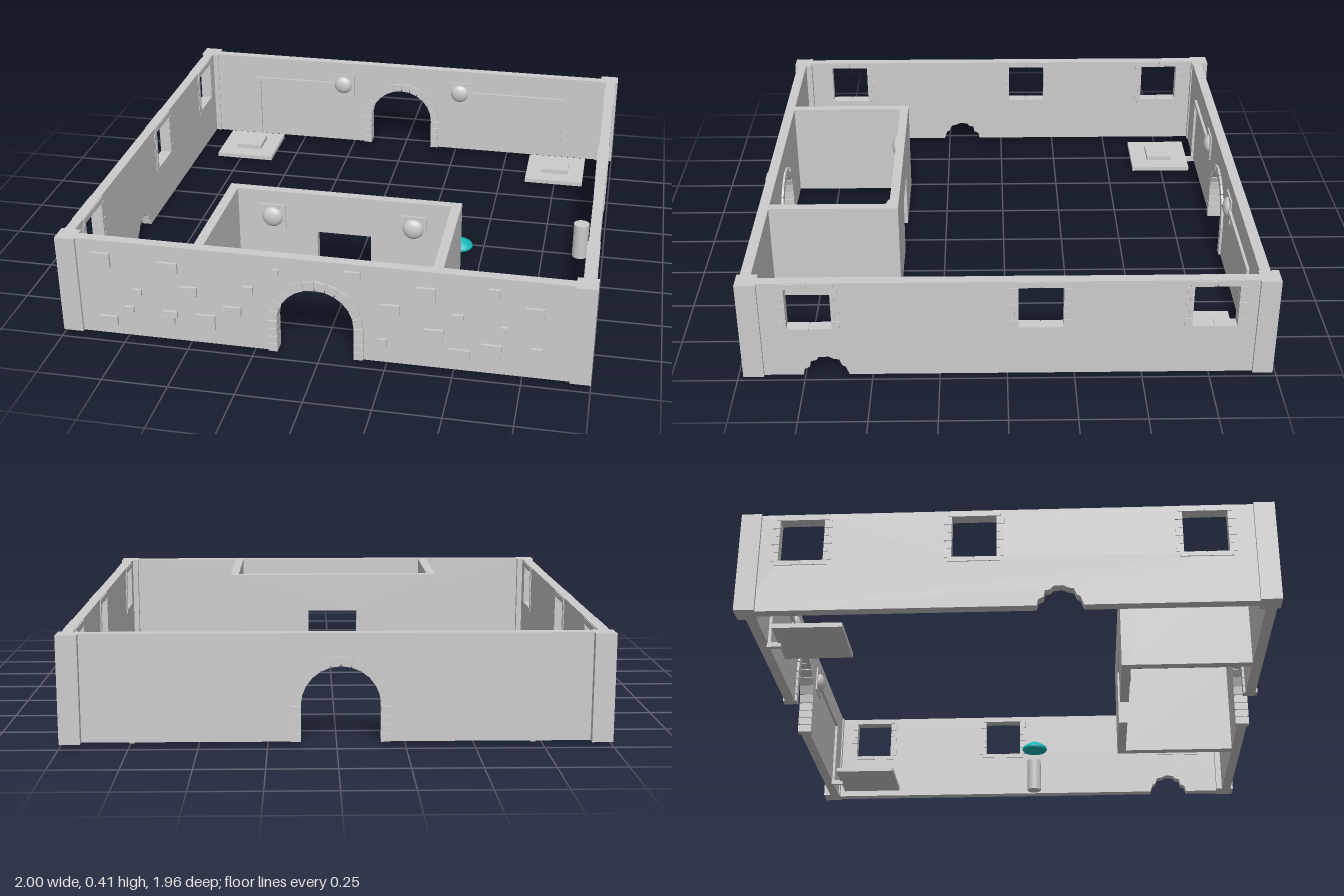
import * as THREE from 'three';

const grey = new THREE.MeshStandardMaterial({ color: 0xcccccc });
const teal = new THREE.MeshStandardMaterial({ color: 0x14b8ba });
const BASE = 0.015, TOP = 0.415, THICK = 0.04;
const ARCH = { x: -0.015, y: 0.15, inner: 0.145, outer: 0.18 };
const WINDOWS = [-0.757, -0.122, 0.722];

export function createModel() {
  const root = new THREE.Group();

  function add(name, geometry, parent = root, material = grey) {
    const mesh = new THREE.Mesh(geometry, material);
    mesh.name = name;
    parent.add(mesh);
    return mesh;
  }
  // box given by its two opposite corners
  function box(name, x0, x1, y0, y1, z0, z1, parent = root) {
    const g = new THREE.BoxGeometry(x1 - x0, y1 - y0, z1 - z0);
    g.translate((x0 + x1) / 2, (y0 + y1) / 2, (z0 + z1) / 2);
    return add(name, g, parent);
  }
  function group(name) {
    const g = new THREE.Group();
    g.name = name;
    root.add(g);
    return g;
  }
  // wall panel centred on its thickness; the notch is cut into the bottom edge
  function wallGeometry(u0, u1, notch, windows = [], thick = THICK) {
    const points = [[u0, BASE], ...notch, [u1, BASE], [u1, TOP], [u0, TOP]];
    const shape = new THREE.Shape(points.map(p => new THREE.Vector2(p[0], p[1])));
    for (const u of windows) {
      const a = 0.085, y0 = 0.217, y1 = 0.393;
      shape.holes.push(new THREE.Path([[u - a, y0], [u - a, y1], [u + a, y1], [u + a, y0]]
        .map(p => new THREE.Vector2(p[0], p[1]))));
    }
    const g = new THREE.ExtrudeGeometry(shape, { depth: thick, bevelEnabled: false });
    return g.translate(0, 0, -thick / 2);
  }

  // front and back walls with arched gateways
  const r = ARCH.inner + 0.005;
  const archNotch = [[ARCH.x - r, BASE]];
  for (let i = 0; i <= 24; i++) {
    const a = Math.PI * (1 - i / 24);
    archNotch.push([ARCH.x + r * Math.cos(a), ARCH.y + r * Math.sin(a)]);
  }
  archNotch.push([ARCH.x + r, BASE]);
  for (const [name, z] of [['front', 0.945], ['back', -0.935]]) {
    add(name + 'Wall', wallGeometry(-0.95, 0.95, archNotch)).position.z = z;
    buildArch(name + 'ArchStones', z);
  }

  // stones around a gateway: straight jambs, then wedge stones
  function buildArch(name, z) {
    const arch = group(name), depth = 0.057, n = 12, rows = 4;
    const { inner, outer } = ARCH;
    const h = (ARCH.y - BASE) / rows;
    for (const s of [-1, 1]) for (let i = 0; i < rows; i++) {
      const a = ARCH.x + s * inner, b = ARCH.x + s * outer;
      box('jambStone', Math.min(a, b), Math.max(a, b),
        BASE + i * h, BASE + (i + 1) * h - 0.003, z - depth / 2, z + depth / 2, arch);
    }
    for (let i = 0; i < n; i++) {
      const a0 = Math.PI * i / n + 0.01, a1 = Math.PI * (i + 1) / n - 0.01;
      const p = (rad, a) => new THREE.Vector2(rad * Math.cos(a), rad * Math.sin(a));
      const wedge = new THREE.Shape([p(inner, a0), p(outer, a0), p(outer, a1), p(inner, a1)]);
      const g = new THREE.ExtrudeGeometry(wedge, { depth, bevelEnabled: false });
      g.translate(ARCH.x, ARCH.y, z - depth / 2);
      add('archStone', g, arch);
    }
  }

  // side walls with windows and a broken gap at the ground
  const gap = [[-0.085, 0], [-0.08, 0.025], [-0.06, 0.035], [-0.055, 0.06], [-0.035, 0.065],
    [-0.025, 0.078], [0.01, 0.08], [0.03, 0.07], [0.05, 0.066], [0.06, 0.04], [0.072, 0.035], [0.085, 0]];
  for (const [name, x, gapZ, flip] of [['left', 0.967, 0.67, -1], ['right', -0.967, 0.19, 1]]) {
    const edge = gap.map(([u, y]) => [gapZ + flip * u, BASE + y]);
    if (flip < 0) edge.reverse();
    const wall = add(name + 'Wall', wallGeometry(-0.95, 0.95, edge, WINDOWS));
    wall.rotation.y = -Math.PI / 2;
    wall.position.x = x;
    for (const z of WINDOWS) buildWindow(name + 'WindowFrame', x, z);
  }

  // toothed stone surround of a window
  function buildWindow(name, x, z) {
    const frame = group(name), d = 0.024, w = 0.0825, y0 = 0.22, y1 = 0.39, n = 5;
    const h = (y1 - y0) / n;
    for (const s of [-1, 1]) {
      for (let i = 0; i < n; i++) {
        const a = z + s * w, b = z + s * (w + (i % 2 ? 0.015 : 0.028));
        box('sideStone', x - d, x + d, y0 + i * h, y0 + (i + 1) * h - 0.002,
          Math.min(a, b), Math.max(a, b), frame);
      }
      const near = z + s * 0.001, far = z + s * (w + 0.015);
      const lo = Math.min(near, far), hi = Math.max(near, far);
      box('lintelStone', x - d, x + d, y1, TOP - 0.002, lo, hi, frame);
      box('sillStone', x - d, x + d, y0 - 0.018, y0, lo, hi, frame);
    }
  }

  // corner pillars
  for (const s of [-1, 1]) {
    const x0 = s < 0 ? -1 : 0.923;
    box('cornerPillar', x0, x0 + 0.077, BASE, TOP, 0.9, 0.977);
    box('cornerPillar', x0, x0 + 0.077, BASE, TOP, -0.985, -0.91);
  }

  // inner room behind the front gateway
  const door = [[-0.12, BASE], [-0.12, 0.25], [0.097, 0.25], [0.097, BASE]];
  add('roomDoorWall', wallGeometry(-0.477, 0.45, door, [], 0.036)).position.z = 0.437;
  box('roomSideWall', -0.477, -0.44, BASE, TOP, 0.45, 0.93);
  box('roomSideWall', 0.413, 0.45, BASE, TOP, 0.45, 0.93);

  // raised stones scattered on the front wall: x, y, width, height
  const stones = [
    [-0.83, 0.335, 0.075, 0.06], [-0.57, 0.33, 0.075, 0.04], [-0.495, 0.235, 0.065, 0.04],
    [-0.695, 0.21, 0.035, 0.025], [-0.57, 0.13, 0.055, 0.025], [-0.435, 0.11, 0.075, 0.062],
    [-0.33, 0.17, 0.07, 0.036], [-0.265, 0.265, 0.036, 0.036], [-0.16, 0.355, 0.022, 0.022],
    [0.125, 0.37, 0.06, 0.036], [0.395, 0.32, 0.07, 0.062], [0.265, 0.245, 0.07, 0.04],
    [0.51, 0.24, 0.042, 0.026], [0.64, 0.352, 0.042, 0.042], [0.785, 0.29, 0.07, 0.04],
    [0.68, 0.207, 0.026, 0.026], [0.425, 0.16, 0.07, 0.04], [0.235, 0.1, 0.034, 0.036],
    [0.52, 0.085, 0.08, 0.042], [0.635, 0.107, 0.075, 0.066], [0.8, 0.13, 0.042, 0.027],
    [-0.815, 0.075, 0.07, 0.038], [-0.73, 0.132, 0.034, 0.026], [-0.58, 0.1, 0.05, 0.034]];
  const facing = group('facingStones');
  for (const [x, y, w, h] of stones)
    box('facingStone', x - w / 2, x + w / 2, y - h / 2, y + h / 2, 0.955, 0.977, facing);

  // round wall lamps on a thin square plate
  function buildLamp(x, z) {
    const lamp = group('wallLamp');
    lamp.position.set(x, 0.305, z);
    box('lampPlate', -0.053, 0.053, -0.053, 0.053, -0.005, 0.005, lamp);
    const dome = new THREE.SphereGeometry(0.042, 20, 8, 0, Math.PI * 2, 0, Math.PI / 2);
    dome.scale(1, 0.55, 1).rotateX(Math.PI / 2);
    add('lampDome', dome, lamp).position.z = 0.004;
  }
  for (const x of [-0.3, 0.265]) {
    buildLamp(x, -0.914);
    buildLamp(x, 0.458);
  }

  // floor pressure plates, each wired to a lamp on the back wall
  for (const [x, wireX, lampX] of [[-0.722, -0.72, -0.3], [0.747, 0.745, 0.265]]) {
    const z = -0.745, t = 0.009;
    box('floorPlate', x - 0.131, x + 0.131, BASE, 0.033, z - 0.131, z + 0.131);
    box('floorButton', x - 0.06, x + 0.06, 0.033, 0.052, z - 0.057, z + 0.057);
    const wire = group('wire');
    box('wireRun', Math.min(wireX, lampX) - t, Math.max(wireX, lampX) + t, 0.296, 0.314, -0.918, -0.904, wire);
    box('wireDrop', wireX - t, wireX + t, 0, 0.314, -0.918, -0.904, wire);
    box('wireFoot', wireX - t, wireX + t, 0, 0.02, -0.918, -0.865, wire);
  }

  // short post by the left wall
  add('post', new THREE.CylinderGeometry(0.032, 0.032, 0.15, 24)).position.set(0.905, BASE + 0.075, 0.03);

  // low coloured mound on the floor
  const profile = [[0, 0], [0.05, 0], [0.055, 0.008], [0.05, 0.017], [0.035, 0.028], [0.018, 0.038], [0, 0.042]];
  const mound = new THREE.LatheGeometry(profile.map(p => new THREE.Vector2(p[0], p[1])), 24);
  add('mound', mound, root, teal).position.set(0.403, BASE, 0.05);

  return root;
}
